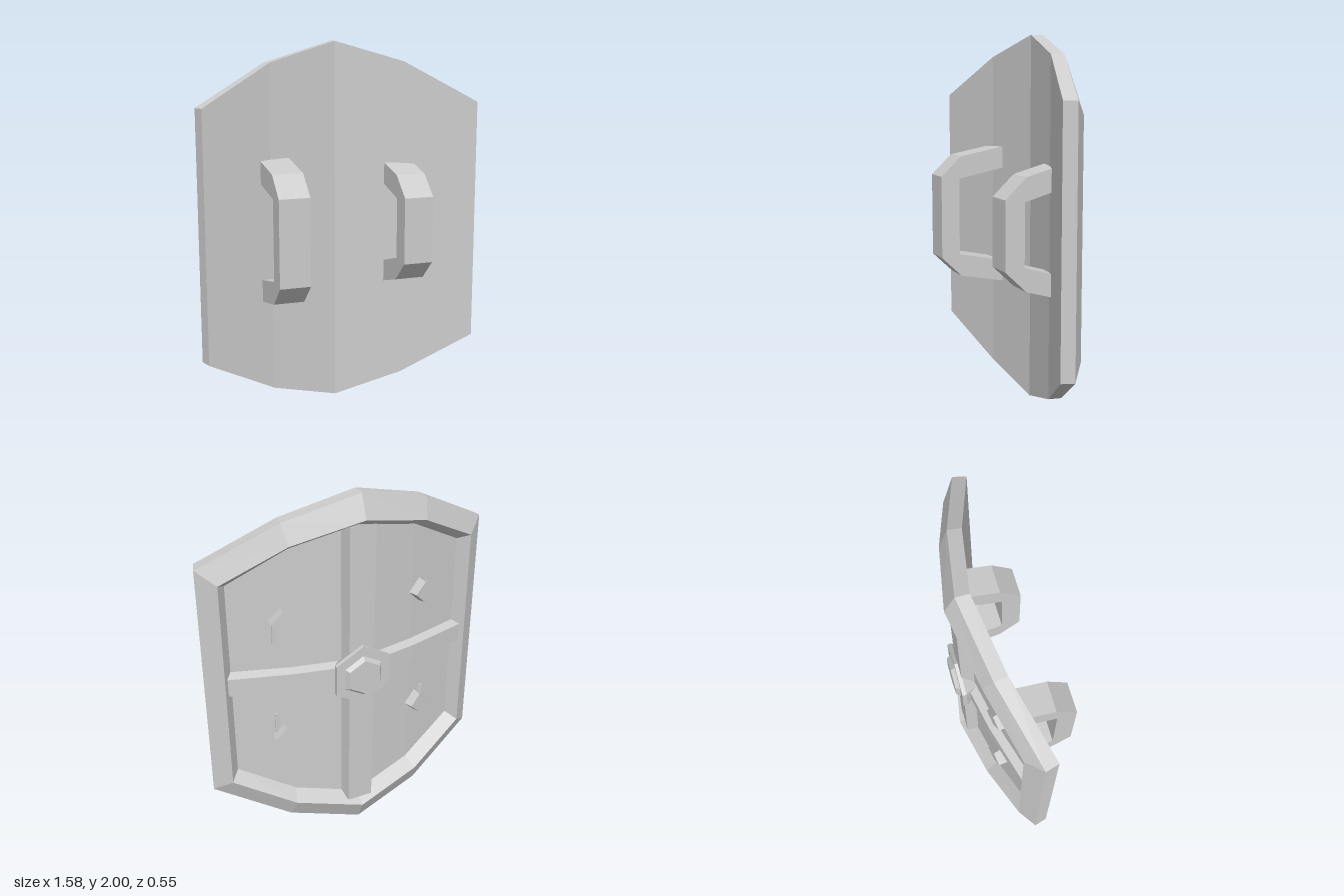
import * as THREE from 'three';

const material = new THREE.MeshStandardMaterial({ color: 0xcccccc, flatShading: true });

function add(parent, name, geometry) {
  const mesh = new THREE.Mesh(geometry, material);
  mesh.name = name;
  parent.add(mesh);
  return mesh;
}

// Flat-shaded surface from quads of points
function quadsGeometry(quads) {
  const pos = [];
  for (const [a, b, c, d] of quads) pos.push(...a, ...b, ...c, ...a, ...c, ...d);
  const g = new THREE.BufferGeometry();
  g.setAttribute('position', new THREE.Float32BufferAttribute(pos, 3));
  g.computeVertexNormals();
  return g;
}

// Quads joining neighbouring cross-sections (clockwise seen from the first one)
function loftQuads(loops) {
  const quads = [];
  for (let k = 0; k + 1 < loops.length; k++) {
    const A = loops[k], B = loops[k + 1];
    A.forEach((p, i) => {
      const j = (i + 1) % A.length;
      quads.push([A[j], B[j], B[i], p]);
    });
  }
  return quads;
}

// Ten-cornered outline from three columns [x, top y, z], mirrored both ways
function outline(columns) {
  const [c, a, b] = columns;
  const at = ([x, y, z], sx, bottom) => [sx * x, bottom ? 2 - y : y, z];
  return [at(c, 1, false), at(a, 1, false), at(b, 1, false), at(b, 1, true), at(a, 1, true),
    at(c, 1, true), at(a, -1, true), at(b, -1, true), at(b, -1, false), at(a, -1, false)];
}

// Vertical strips closing an outline, facing +z
const capQuads = (p) =>
  [[4, 3, 2, 1], [5, 4, 1, 0], [6, 5, 0, 9], [7, 6, 9, 8]].map((q) => q.map((i) => p[i]));

// Grip with chamfered corners: outer and inner profile in (z, y), mirrored about y = 1
function handleGeometry(reach, half, width) {
  const upper = [[-0.1, half], [reach - 0.115, half - 0.05], [reach, half - 0.16]];
  const inner = [[reach - 0.105, half - 0.175], [-0.1, half - 0.12]];
  const flip = (pts) => pts.map(([z, y]) => [z, -y]).reverse();
  const pts = [...upper, ...flip(upper), ...flip(inner).slice(0, 2), ...inner];
  const shape = new THREE.Shape(pts.map(([z, y]) => new THREE.Vector2(z, y + 1)));
  const g = new THREE.ExtrudeGeometry(shape, { depth: width, bevelEnabled: false });
  g.rotateY(-Math.PI / 2);
  g.translate(width / 2, 0, 0);
  return g;
}

// Tapered prism pointing to -z
function stud(sides, rOuter, rBase, zOuter, zBase) {
  const g = new THREE.CylinderGeometry(rOuter, rBase, zBase - zOuter, sides);
  g.rotateX(-Math.PI / 2);
  g.translate(0, 0, (zOuter + zBase) / 2);
  return g;
}

export function createModel() {
  const group = new THREE.Group();
  group.name = 'shield';

  // Bent plate with raised bevelled rim around a recessed panel
  const front = outline([[0, 2, -0.14], [0.38, 1.89, -0.075], [0.77, 1.67, 0.05]]);
  const edge = outline([[0, 2, -0.21], [0.39, 1.89, -0.145], [0.79, 1.67, -0.02]]);
  const ridge = outline([[0, 1.88, -0.265], [0.37, 1.785, -0.195], [0.7, 1.6, -0.095]]);
  const foot = outline([[0, 1.83, -0.185], [0.345, 1.74, -0.12], [0.65, 1.565, -0.035]]);
  add(group, 'frontPlate', quadsGeometry(capQuads(front)));
  add(group, 'rim', quadsGeometry(loftQuads([front, edge, ridge, foot])));
  add(group, 'recessedPanel', quadsGeometry(capQuads(foot).map((q) => q.reverse())));

  // Straight vertical rib
  const ribSection = (y) => [[-0.09, y, -0.16], [-0.07, y, -0.233], [0.07, y, -0.233], [0.09, y, -0.16]];
  add(group, 'verticalRib', quadsGeometry(loftQuads([ribSection(1.84), ribSection(0.16)])));

  // Horizontal rib following the bend of the panel
  const bend = [[0.68, -0.03], [0.345, -0.12], [0, -0.185], [-0.345, -0.12], [-0.68, -0.03]];
  const sections = bend.map(([x, z]) => [
    [x, 0.93, z + 0.01], [x, 1.07, z + 0.01], [x, 1.05, z - 0.045], [x, 0.95, z - 0.045]]);
  add(group, 'horizontalRib', quadsGeometry(loftQuads(sections)));

  // Central hexagonal boss in three steps
  const boss = new THREE.Group();
  boss.name = 'boss';
  boss.position.y = 1;
  group.add(boss);
  add(boss, 'bossBase', stud(6, 0.175, 0.13, -0.23, -0.17));
  add(boss, 'bossPlate', stud(6, 0.175, 0.175, -0.252, -0.23));
  add(boss, 'bossCap', stud(6, 0.1, 0.12, -0.275, -0.25));

  // Four diamond studs
  for (const sx of [-1, 1]) {
    for (const sy of [-1, 1]) {
      const s = add(group, 'diamondStud', stud(4, 0.06, 0.07, -0.05, 0.02));
      s.position.set(sx * 0.39, 1 + sy * 0.355, -0.108);
      s.rotation.y = -sx * 0.25;
    }
  }

  // Two grips of different depth
  add(group, 'rightHandle', handleGeometry(0.275, 0.39, 0.165)).position.x = -0.362;
  add(group, 'leftHandle', handleGeometry(0.195, 0.34, 0.165)).position.x = 0.358;

  return group;
}
